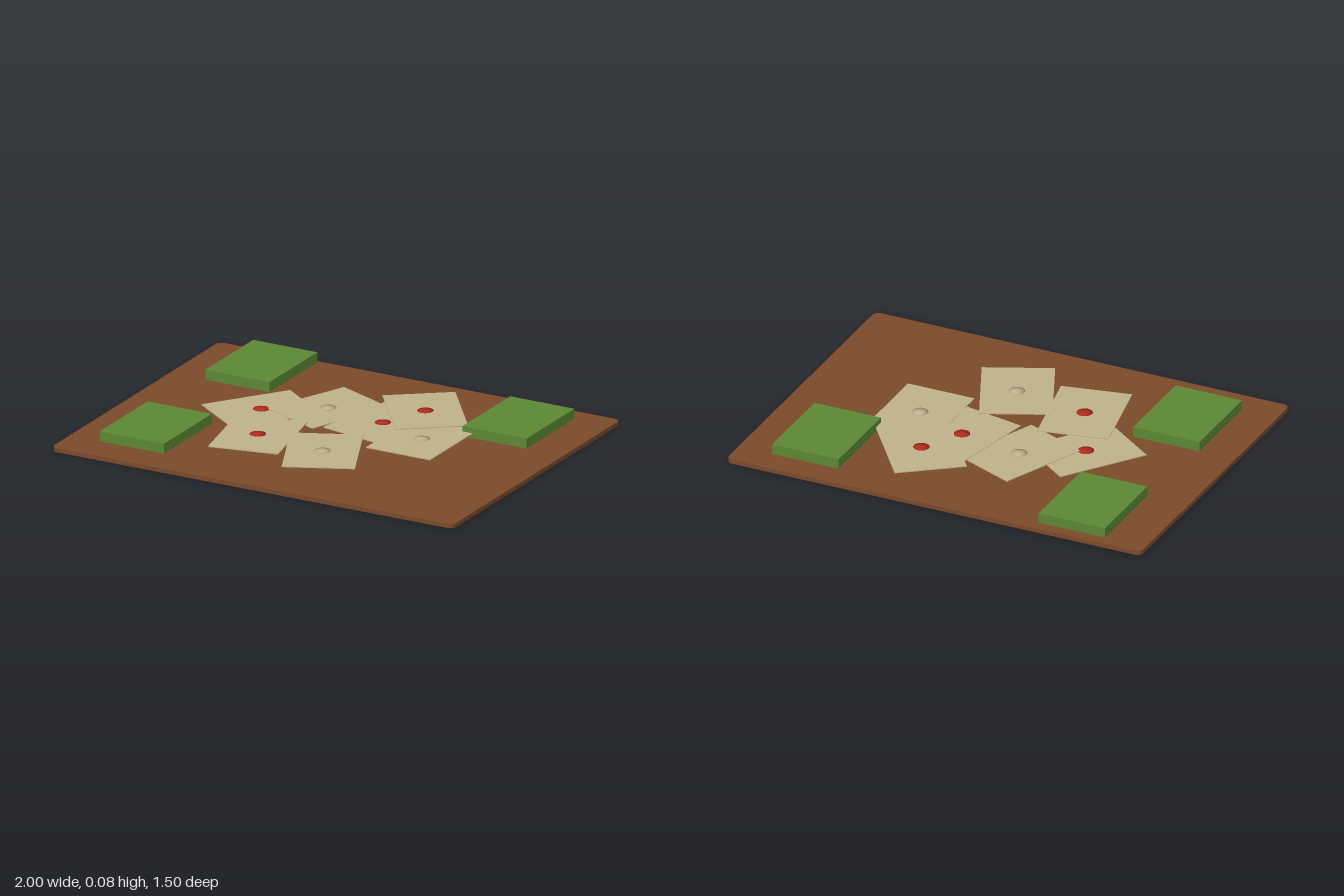
import * as THREE from 'three';

const mat = (name, color) => {
  const m = new THREE.MeshStandardMaterial({ color });
  m.name = name;
  return m;
};

export function createModel() {
  const wood = mat('brown wood', 0x7a4a2a);
  const green = mat('green', 0x5b8734);
  const paper = mat('cream', 0xbdb188);
  const red = mat('red', 0xb02a20);

  const model = new THREE.Group();
  model.name = 'cardTable';
  const add = (name, geometry, material, x, y, z, turn = 0) => {
    const mesh = new THREE.Mesh(geometry, material);
    mesh.name = name;
    mesh.position.set(x, y, z);
    mesh.rotation.y = turn;
    model.add(mesh);
  };

  // Board: a thin slab with rounded corners
  const w = 1, d = 0.75, r = 0.03;
  const outline = new THREE.Shape();
  outline.absarc(w - r, d - r, r, 0, Math.PI / 2);
  outline.absarc(-w + r, d - r, r, Math.PI / 2, Math.PI);
  outline.absarc(-w + r, -d + r, r, Math.PI, Math.PI * 1.5);
  outline.absarc(w - r, -d + r, r, Math.PI * 1.5, Math.PI * 2);
  const slab = new THREE.ExtrudeGeometry(outline, { depth: 0.02, bevelEnabled: false, curveSegments: 6 });
  slab.rotateX(-Math.PI / 2);
  add('board', slab, wood, 0, 0, 0);

  // Card decks
  const deck = new THREE.BoxGeometry(0.32, 0.046, 0.428);
  [[-0.65, -0.5], [0.67, -0.428], [-0.677, 0.395]].forEach(([x, z], i) =>
    add('deck' + (i + 1), deck, green, x, 0.053, z));

  // Loose cards, each a little higher than the one before: x, z, turn
  const cards = [
    [-0.4, -0.05, -0.63], [-0.15, -0.2, -0.4], [0.15, -0.15, -0.2], [0.4, -0.05, 0],
    [-0.25, 0.25, 0.2], [0.1, 0.3, 0.42], [0.25, -0.35, 0.64],
  ];
  const card = new THREE.BoxGeometry(0.32, 0.004, 0.425);

  // Flat dot; it keeps the round normals of the ball for a domed look
  const dot = new THREE.SphereGeometry(0.036, 24, 16);
  const p = dot.attributes.position;
  for (let i = 0; i < p.count; i++) p.setY(i, p.getY(i) * 0.08);

  cards.forEach(([x, z, turn], i) => {
    const y = 0.044 + i * 0.002;
    add('card' + (i + 1), card, paper, x, y, z, turn);
    add('cardDot' + (i + 1), dot, i % 2 ? paper : red, x, y + 0.002, z);
  });
  return model;
}
